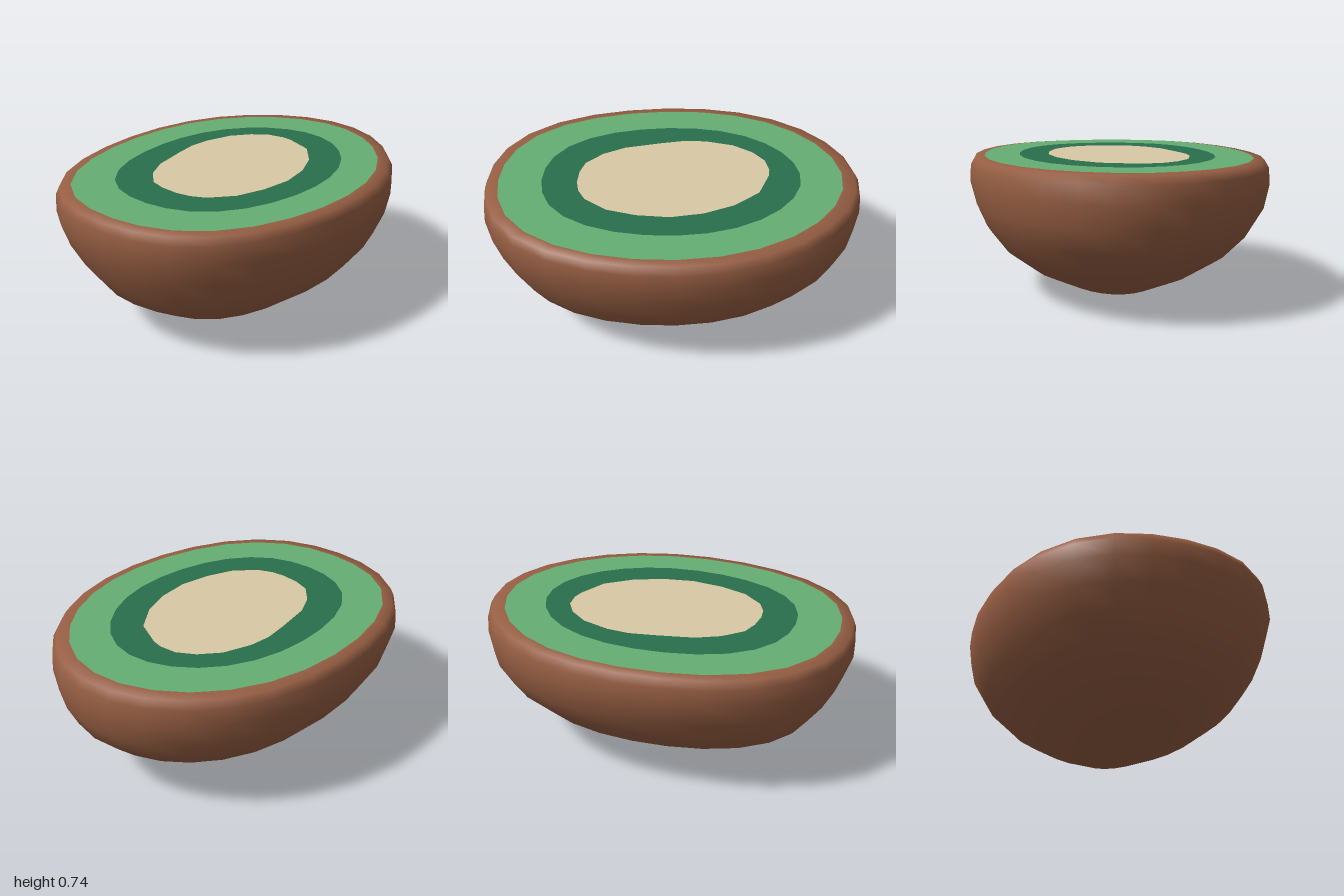
import * as THREE from 'three';

const SEGMENTS = 28;
const TOP = 0.735;

const material = (name, color) => {
  const m = new THREE.MeshStandardMaterial({ color });
  m.name = name;
  return m;
};

// Slightly egg-shaped oval in the cut plane: fuller towards the front corners
function oval(rx, rz, cx = 0, cz = 0) {
  return Array.from({ length: SEGMENTS }, (_, i) => {
    const a = (i / SEGMENTS) * Math.PI * 2;
    const c = Math.cos(a);
    const s = Math.sin(a);
    const bulge = 1 + Math.sin(2 * a) ** 2 * (0.02 + 0.024 * s - 0.0085 * c);
    return new THREE.Vector2(cx + rx * c * bulge, cz + rz * s * bulge);
  });
}

// Rounded half-egg skin from oval rings, closed by a single bottom point
function skinGeometry(rings) {
  const positions = [];
  const index = [];
  for (const [y, ...size] of rings) {
    for (const p of oval(...size)) positions.push(p.x, y, p.y);
  }
  const pole = positions.length / 3;
  positions.push(0.01, 0, 0);
  for (let r = 0; r < rings.length; r++) {
    for (let i = 0; i < SEGMENTS; i++) {
      const next = (i + 1) % SEGMENTS;
      const a = r * SEGMENTS + i;
      const b = r * SEGMENTS + next;
      if (r === rings.length - 1) index.push(a, b, pole);
      else index.push(a, b, a + SEGMENTS, b, b + SEGMENTS, a + SEGMENTS);
    }
  }
  const geometry = new THREE.BufferGeometry();
  geometry.setAttribute('position', new THREE.Float32BufferAttribute(positions, 3));
  geometry.setIndex(index);
  geometry.computeVertexNormals();
  return geometry;
}

// Flat layer of the cut face, with an optional opening for the layer inside it
function layerGeometry(outer, inner) {
  const flip = (points) => points.map((p) => new THREE.Vector2(p.x, -p.y));
  const shape = new THREE.Shape(flip(outer));
  if (inner) shape.holes.push(new THREE.Path(flip(inner)));
  return new THREE.ShapeGeometry(shape).rotateX(-Math.PI / 2).translate(0, TOP, 0);
}

export function createModel() {
  const group = new THREE.Group();
  group.name = 'halvedFruit';

  const add = (name, geometry, mat) => {
    const mesh = new THREE.Mesh(geometry, mat);
    mesh.name = name;
    group.add(mesh);
  };

  // Rings from the rim down: height, half width, half length, x shift, z shift
  const rings = [
    [TOP, 0.715, 0.91, 0, 0.01],
    [0.73, 0.765, 0.975, 0, 0.005],
    [0.69, 0.788, 0.994, 0, 0],
    [0.6, 0.792, 1.0, 0, 0],
    [0.48, 0.762, 0.971, 0, -0.012],
    [0.36, 0.7, 0.912, 0.01, -0.012],
    [0.24, 0.6, 0.81, 0.02, 0.01],
    [0.13, 0.445, 0.628, 0.03, 0.02],
    [0.05, 0.25, 0.42, 0.04, 0.005],
    [0.015, 0.09, 0.205, 0.03, -0.02],
  ];
  add('skin', skinGeometry(rings), material('brown skin', 0x965e43));

  const fleshEdge = oval(0.715, 0.91, 0, 0.01);
  const seedBandEdge = oval(0.522, 0.685, 0.003, 0.007);

  // Slightly irregular core outline
  const coreEdge = [
    [-0.05, -0.52], [0.01, -0.51], [0.17, -0.44], [0.28, -0.3], [0.345, -0.14],
    [0.37, 0.03], [0.345, 0.2], [0.29, 0.35], [0.19, 0.46], [0.11, 0.495],
    [0.03, 0.505], [-0.07, 0.495], [-0.16, 0.465], [-0.25, 0.37], [-0.31, 0.25],
    [-0.35, 0.05], [-0.37, -0.08], [-0.36, -0.2], [-0.31, -0.35], [-0.23, -0.45],
    [-0.14, -0.508],
  ].map(([x, z]) => new THREE.Vector2(x, z));

  add('flesh', layerGeometry(fleshEdge, seedBandEdge), material('green flesh', 0x65ae73));
  add('seedBand', layerGeometry(seedBandEdge, coreEdge), material('dark green', 0x296f4c));
  add('core', layerGeometry(coreEdge), material('cream core', 0xd9c9a5));

  return group;
}
